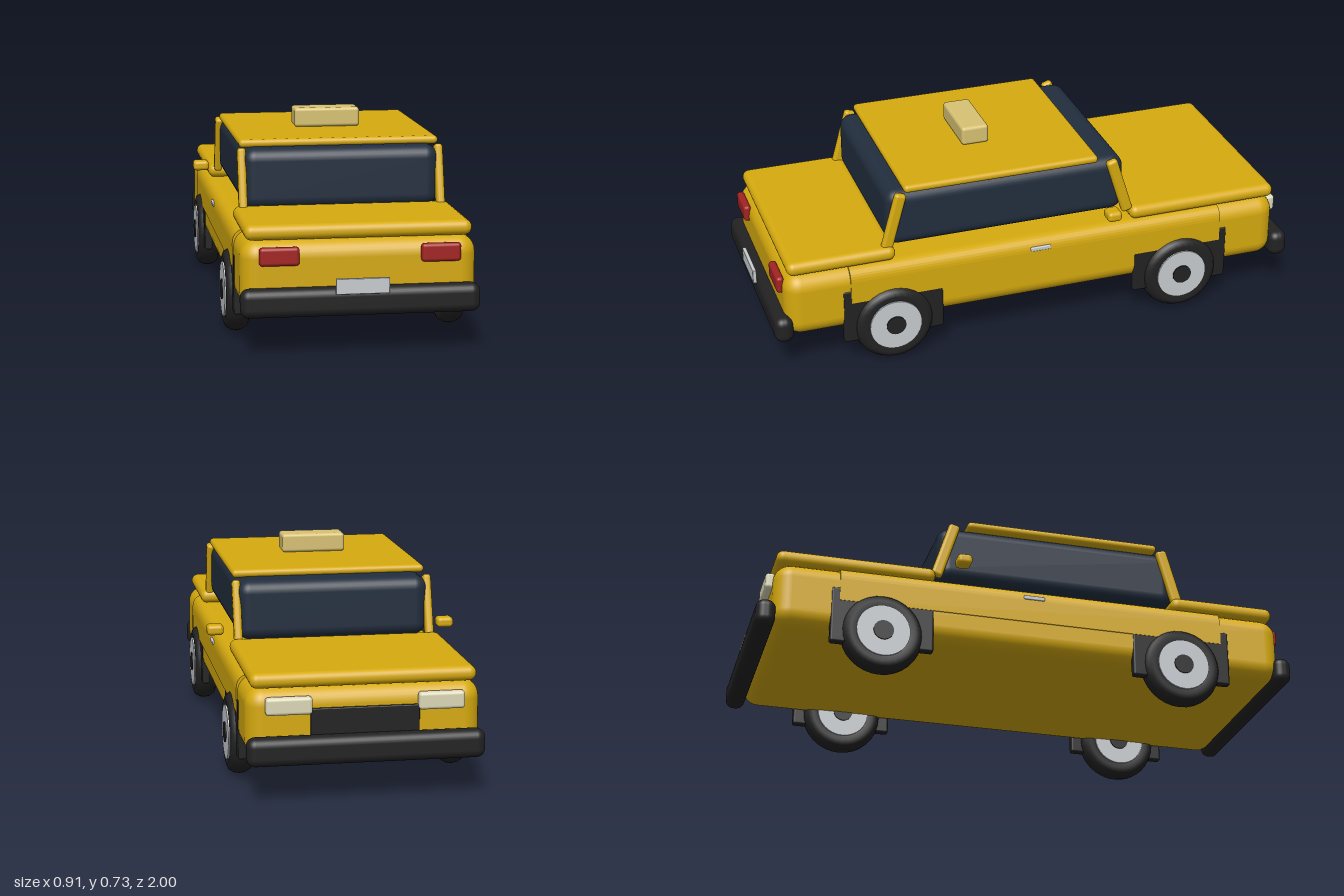
import * as THREE from 'three';
import { RoundedBoxGeometry } from 'three/addons/geometries/RoundedBoxGeometry.js';

const mat = (name, color) => {
  const m = new THREE.MeshStandardMaterial({ color });
  m.name = name;
  return m;
};

export function createModel() {
  const car = new THREE.Group();
  car.name = 'car';
  const yellow = mat('yellow paint', 0xd6aa0f);
  const black = mat('black rubber', 0x222222);
  const glass = mat('dark glass', 0x222e3e);
  const red = mat('red lens', 0xa32222);
  const cream = mat('cream sign', 0xd8c274);
  const lamp = mat('pale lamp', 0xdcd8b8);
  const silver = mat('silver', 0xc8ccd0);

  const add = (name, geometry, material, parent = car) => {
    const mesh = new THREE.Mesh(geometry, material);
    mesh.name = name;
    parent.add(mesh);
    return mesh;
  };
  // Rounded block given by its [min, max] range on each axis
  const block = (name, material, x, y, z, radius) => {
    const size = [x, y, z].map(([a, b]) => b - a);
    const r = Math.min(radius, Math.min(...size) * 0.49);
    const mesh = add(name, new RoundedBoxGeometry(...size, 4, r), material);
    mesh.position.set((x[0] + x[1]) / 2, (y[0] + y[1]) / 2, (z[0] + z[1]) / 2);
    return mesh;
  };
  const sym = (w) => [-w, w];
  const side = (s, a, b) => (s > 0 ? [a, b] : [-b, -a]);

  // Body, decks, cabin and roof
  block('body', yellow, sym(0.4), [0.15, 0.393], [-0.94, 0.945], 0.06);
  block('frontDeck', yellow, sym(0.385), [0.392, 0.444], [0.535, 0.93], 0.025);
  block('rearDeck', yellow, sym(0.385), [0.392, 0.444], [-0.935, -0.36], 0.025);
  block('cabinGlass', glass, sym(0.347), [0.425, 0.642], [-0.345, 0.555], 0.045);
  block('roof', yellow, sym(0.355), [0.638, 0.667], [-0.237, 0.492], 0.014);
  block('roofSign', cream, sym(0.12), [0.667, 0.737], [0.103, 0.205], 0.012);

  // Door band along both flanks, with rounded shoulders
  const band = new THREE.Shape();
  band.moveTo(-0.404, 0.26);
  band.lineTo(0.404, 0.26);
  band.lineTo(0.404, 0.345);
  band.quadraticCurveTo(0.402, 0.392, 0.358, 0.394);
  band.lineTo(-0.358, 0.394);
  band.quadraticCurveTo(-0.402, 0.392, -0.404, 0.345);
  const bandGeo = new THREE.ExtrudeGeometry(band, { depth: 1.42, bevelEnabled: false, curveSegments: 8 });
  add('doorBand', bandGeo.translate(0, 0, -0.71), yellow);

  // Bumpers, plate and grille
  block('frontBumper', black, sym(0.405), [0.14, 0.238], [0.92, 0.988], 0.03);
  block('rearBumper', black, sym(0.405), [0.14, 0.238], [-1, -0.93], 0.03);
  block('plate', silver, sym(0.09), [0.22, 0.272], [0.986, 1], 0.002);
  block('grille', black, sym(0.185), [0.23, 0.325], [-0.95, -0.93], 0.004);

  // Tyre profile, revolved around the axle
  const tyreProfile = [
    [0.08, -0.036], [0.115, -0.043], [0.133, -0.036], [0.144, -0.018],
    [0.147, 0], [0.144, 0.018], [0.133, 0.036], [0.115, 0.043], [0.08, 0.036],
  ].map(([r, h]) => new THREE.Vector2(r, h));
  const tyreGeo = new THREE.LatheGeometry(tyreProfile, 32).rotateZ(-Math.PI / 2);
  const disc = (r, w) => new THREE.CylinderGeometry(r, r, w, 32).rotateZ(Math.PI / 2);
  const rimGeo = disc(0.096, 0.09);
  const capGeo = disc(0.036, 0.098);

  for (const s of [1, -1]) {
    const label = s > 0 ? 'left' : 'right';
    // Lights, handles and mirrors
    block(label + 'RedLight', red, side(s, 0.205, 0.34), [0.312, 0.375], [0.935, 0.963], 0.012);
    block(label + 'Headlight', lamp, side(s, 0.18, 0.338), [0.308, 0.368], [-0.966, -0.93], 0.012);
    block(label + 'DoorHandle', silver, side(s, 0.395, 0.408), [0.348, 0.364], [-0.04, 0.038], 0.004);
    block(label + 'Mirror', yellow, side(s, 0.394, 0.455), [0.44, 0.478], [-0.297, -0.243], 0.014);

    // Slanted roof pillars: z at the foot and at the top
    for (const [foot, top] of [[0.565, 0.505], [-0.355, -0.287]]) {
      const length = Math.hypot(0.215, top - foot);
      const pillar = add(label + 'Pillar', new RoundedBoxGeometry(0.03, length, 0.042, 4, 0.012), yellow);
      pillar.position.set(s * 0.35, 0.533, (foot + top) / 2);
      pillar.rotation.x = Math.atan2(top - foot, 0.215);
    }

    // Wheels with their dark arch plates
    for (const z of [0.555, -0.555]) {
      block(label + 'WheelArch', black, side(s, 0.372, 0.4025), [0.1, 0.31], [z - 0.185, z + 0.185], 0.008);
      const wheel = new THREE.Group();
      wheel.name = label + 'Wheel';
      wheel.position.set(s * 0.38, 0.152, z);
      add('tyre', tyreGeo, black, wheel);
      add('rim', rimGeo, silver, wheel);
      add('hubCap', capGeo, black, wheel);
      car.add(wheel);
    }
  }
  return car;
}
